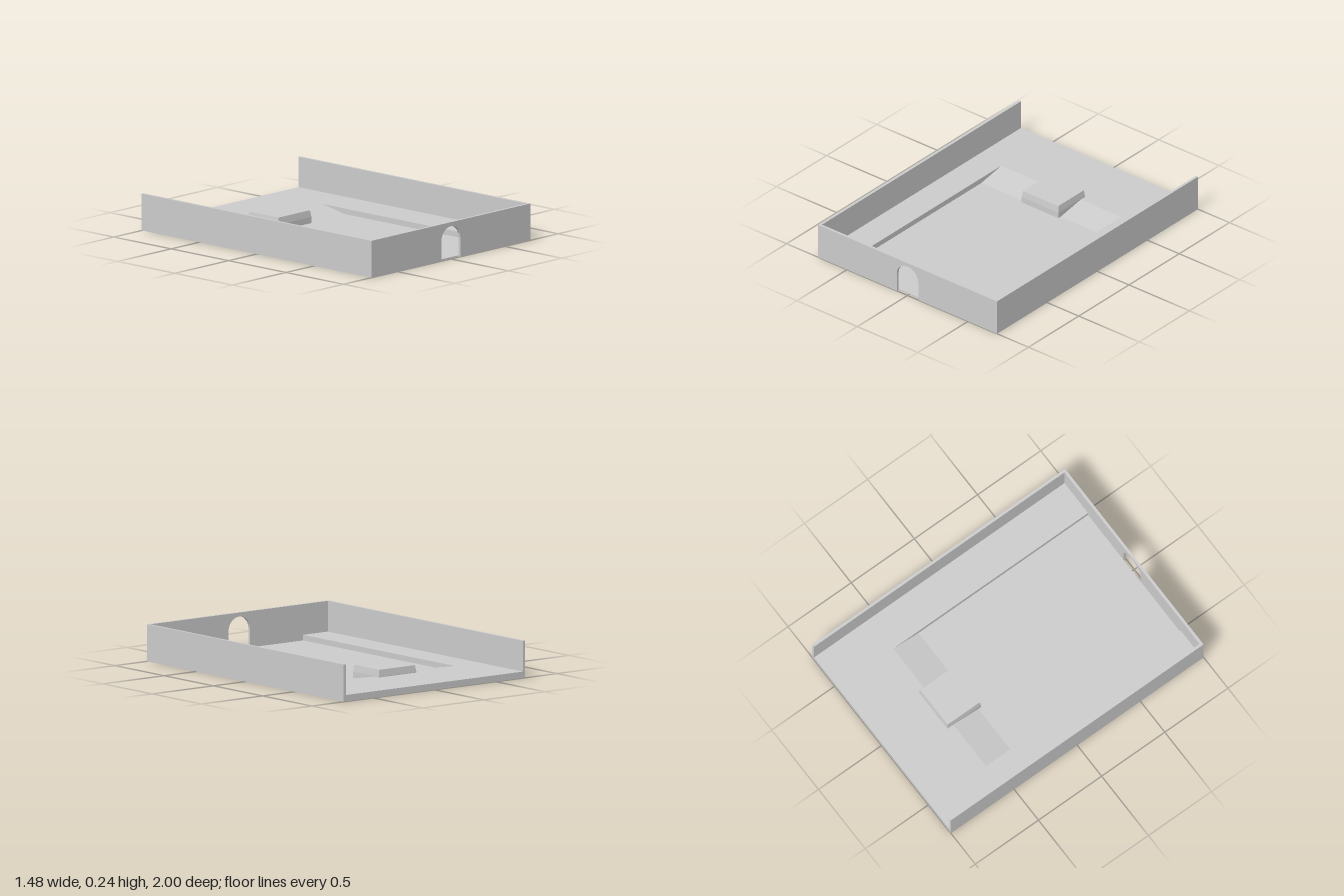
import * as THREE from 'three';

const W = 0.74;        // half width
const H = 0.24;        // wall height
const T = 0.018;       // wall thickness
const FLOOR = 0.042;   // raised floor height
const LOW = 0.006;     // sunken channel height
const CH = [-0.52, 0.47]; // channel sides in x

export function createModel() {
  const group = new THREE.Group();
  const mat = new THREE.MeshStandardMaterial({ color: 0xcccccc, flatShading: true });

  const add = (name, geometry) => {
    const mesh = new THREE.Mesh(geometry, mat);
    mesh.name = name;
    group.add(mesh);
    return mesh;
  };
  // Box given by its limits on each axis
  const box = (name, [x0, x1], [y0, y1], [z0, z1]) =>
    add(name, new THREE.BoxGeometry(x1 - x0, y1 - y0, z1 - z0))
      .position.set((x0 + x1) / 2, (y0 + y1) / 2, (z0 + z1) / 2);

  // Side walls
  box('leftWall', [W - T, W], [0, H], [-1, 1 - T]);
  box('rightWall', [-W, -W + T], [0, H], [-1, 1 - T]);

  // Raised floor strips beside the channel
  box('leftFloor', [CH[1], W - T], [0, FLOOR], [-1, 1 - T]);
  box('rightFloor', [-W + T, CH[0]], [0, FLOOR], [-1, 1 - T]);

  // Middle floor: level at the back, short ramp, then the sunken channel
  const profile = [[-1, 0], [-1, FLOOR], [-0.56, FLOOR], [-0.36, LOW], [1 - T, LOW], [1 - T, 0]];
  const floorShape = new THREE.Shape(profile.map(([z, y]) => new THREE.Vector2(-z, y)));
  const floor = new THREE.ExtrudeGeometry(floorShape, { depth: CH[1] - CH[0], bevelEnabled: false });
  floor.rotateY(Math.PI / 2).translate(CH[0], 0, 0);
  add('channelFloor', floor);

  // Front wall with an arched doorway down to the ground
  const r = 0.089, spring = 0.126;
  const wall = new THREE.Shape();
  wall.moveTo(-W, 0);
  wall.lineTo(-r, 0);
  wall.lineTo(-r, spring);
  wall.absarc(0, spring, r, Math.PI, 0, true);
  wall.lineTo(r, 0);
  wall.lineTo(W, 0);
  wall.lineTo(W, H);
  wall.lineTo(-W, H);
  add('frontWall', new THREE.ExtrudeGeometry(wall, { depth: T, bevelEnabled: false, curveSegments: 5 }))
    .position.z = 1 - T;

  // Block on the ramp: straight base, slightly tapered top
  box('blockBase', [-0.17, 0.135], [0, 0.046], [-0.605, -0.34]);
  const top = new THREE.BoxGeometry(0.305, 0.044, 0.265);
  const p = top.attributes.position;
  for (let i = 0; i < p.count; i++) {
    if (p.getY(i) > 0) p.setXYZ(i, p.getX(i) * 0.955, p.getY(i), p.getZ(i) * 0.955);
  }
  top.computeVertexNormals();
  add('blockTop', top).position.set(-0.0175, 0.068, -0.4725);

  return group;
}
